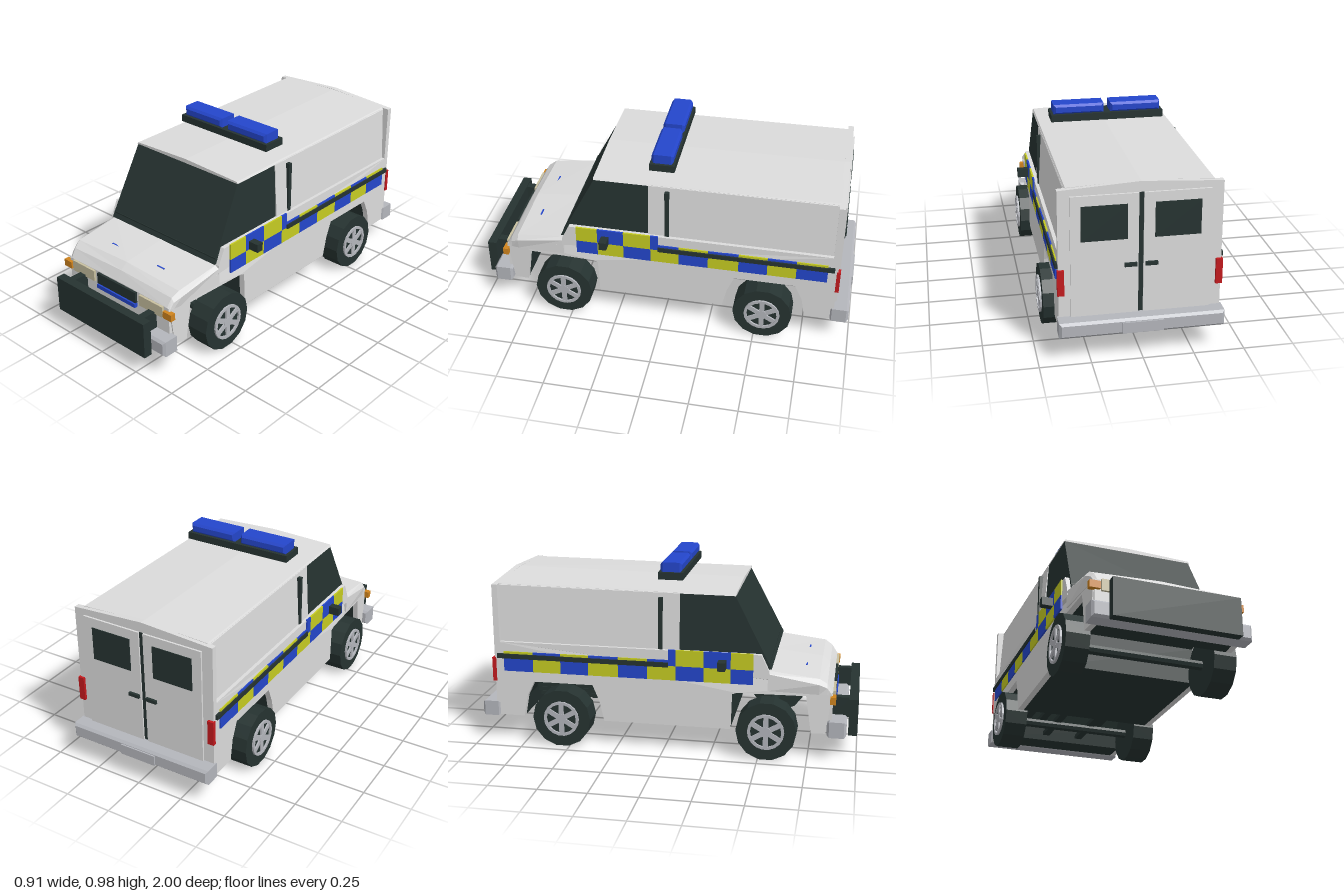
import * as THREE from 'three';

const mat = (name, color) => {
  const m = new THREE.MeshStandardMaterial({ color, flatShading: true });
  m.name = name;
  return m;
};

export function createModel() {
  const white = mat('white paint', 0xdcdcdc);
  const dark = mat('dark trim and glass', 0x263331);
  const blue = mat('blue', 0x2446cc);
  const yellow = mat('yellow', 0xc6cc22);
  const grey = mat('bumper grey', 0xb4b6bc);
  const red = mat('red lamp', 0xc41a1e);
  const orange = mat('orange lamp', 0xd0841e);
  const cream = mat('headlamp cream', 0xc8c0a0);

  const van = new THREE.Group();
  van.name = 'van';
  const add = (name, geo, m, parent = van) => {
    const mesh = new THREE.Mesh(geo, m);
    mesh.name = name;
    parent.add(mesh);
    return mesh;
  };
  // Box given by its limits on each axis
  const box = (name, m, x0, x1, y0, y1, z0, z1, parent = van) => {
    const mesh = add(name, new THREE.BoxGeometry(x1 - x0, y1 - y0, z1 - z0), m, parent);
    mesh.position.set((x0 + x1) / 2, (y0 + y1) / 2, (z0 + z1) / 2);
    return mesh;
  };
  // The same box on both sides
  const pair = (name, m, x0, x1, ...rest) => {
    box(name + 'Left', m, x0, x1, ...rest);
    box(name + 'Right', m, -x1, -x0, ...rest);
  };
  // Bevelled box
  const bevelBox = (name, m, x0, x1, y0, y1, z0, z1, b) => {
    const w = (x1 - x0) / 2 - b, h = (y1 - y0) / 2 - b;
    const s = new THREE.Shape([[-w, -h], [w, -h], [w, h], [-w, h]].map(p => new THREE.Vector2(...p)));
    const g = new THREE.ExtrudeGeometry(s, {
      depth: z1 - z0 - 2 * b, bevelSize: b, bevelThickness: b, bevelSegments: 1,
    });
    g.translate((x0 + x1) / 2, (y0 + y1) / 2, z0 + b);
    return add(name, g, m);
  };
  // Solid through mirrored cross-sections, listed front to back;
  // each half section runs from the lower left edge to the centre line
  const loft = (name, m, halves) => {
    const secs = halves.map(h => [...h, ...h.slice(0, -1).reverse().map(([x, y, z]) => [-x, y, z])]);
    const out = [], n = secs[0].length;
    const tri = (...pts) => pts.forEach(p => out.push(...p));
    for (let s = 0; s < secs.length - 1; s++) {
      for (let i = 0; i < n; i++) {
        const j = (i + 1) % n, A = secs[s], B = secs[s + 1];
        tri(A[i], B[i], B[j]);
        tri(A[i], B[j], A[j]);
      }
    }
    const F = secs[0], R = secs[secs.length - 1];
    for (let i = 1; i < n - 1; i++) {
      tri(F[0], F[i], F[i + 1]);
      tri(R[0], R[i + 1], R[i]);
    }
    const g = new THREE.BufferGeometry();
    g.setAttribute('position', new THREE.Float32BufferAttribute(out, 3));
    g.computeVertexNormals();
    return add(name, g, m);
  };
  const at = (z, pts) => pts.map(([x, y]) => [x, y, z]);

  // Lower body: side panels with wheel arches around a dark core
  const profile = [
    [-0.9, 0.14], [-0.76, 0.14], [-0.74, 0.25], [-0.7, 0.335], [-0.38, 0.335], [-0.345, 0.25], [-0.32, 0.14],
    [0.35, 0.14], [0.355, 0.33], [0.38, 0.34], [0.735, 0.34], [0.765, 0.14], [0.84, 0.14], [0.865, 0.35],
    [0.8, 0.39], [0.55, 0.42], [0.545, 0.465], [0.505, 0.548], [-0.9, 0.548],
  ].map(p => new THREE.Vector2(...p));
  const slab = (name, m, x0, x1) => {
    const g = new THREE.ExtrudeGeometry(new THREE.Shape(profile), { depth: x1 - x0, bevelEnabled: false });
    g.rotateY(-Math.PI / 2).translate(x1, 0, 0);
    const p = g.attributes.position;
    for (let i = 0; i < p.count; i++) {
      p.setX(i, p.getX(i) * (1 - 0.2 * Math.max(0, p.getZ(i) - 0.55))); // nose taper
    }
    g.computeVertexNormals();
    add(name, g, m);
  };
  slab('sidePanelLeft', white, 0.36, 0.392);
  slab('sidePanelRight', white, -0.392, -0.36);
  slab('chassisCore', dark, -0.36, 0.36);
  box('nosePanel', white, -0.362, 0.362, 0.2, 0.36, 0.83, 0.869);

  // Bonnet
  loft('bonnet', white, [
    at(0.869, [[0.365, 0.32], [0.365, 0.345], [0.35, 0.36], [0, 0.365]]),
    at(0.84, [[0.37, 0.35], [0.37, 0.385], [0.355, 0.405], [0, 0.415]]),
    at(0.8, [[0.375, 0.35], [0.385, 0.405], [0.365, 0.432], [0, 0.446]]),
    at(0.54, [[0.392, 0.36], [0.392, 0.45], [0.37, 0.462], [0, 0.473]]),
  ]);
  pair('bonnetLamp', blue, 0.14, 0.19, 0.435, 0.449, 0.72, 0.728);

  // Glazed cab, load space and roof
  loft('cabGlass', dark, [
    [[0.372, 0.47, 0.557], [0.353, 0.843, 0.362], [0, 0.856, 0.355]],
    at(0.08, [[0.372, 0.47], [0.353, 0.843], [0, 0.858]]),
  ]);
  loft('loadSpace', white, [
    at(0.08, [[0.377, 0.5], [0.356, 0.845], [0, 0.86]]),
    at(-0.89, [[0.377, 0.5], [0.356, 0.853], [0, 0.87]]),
  ]);
  loft('roof', white, [
    at(0.367, [[0.357, 0.84], [0.35, 0.85], [0, 0.863]]),
    at(-0.89, [[0.359, 0.848], [0.35, 0.86], [0, 0.876]]),
  ]);
  pair('sideTrack', dark, 0.35, 0.379, 0.548, 0.82, -0.03, -0.008);
  pair('sideRail', dark, 0.39, 0.405, 0.46, 0.485, -0.895, 0.025);
  box('dashboardSill', dark, -0.37, 0.37, 0.47, 0.5, 0.5, 0.545);

  // Rear frame, doors and lamps
  const frame = new THREE.Shape([[-0.392, 0.14], [0.392, 0.14], [0.392, 0.855], [0, 0.878], [-0.392, 0.855]]
    .map(p => new THREE.Vector2(...p)));
  add('rearFrame', new THREE.ExtrudeGeometry(frame, { depth: 0.03, bevelEnabled: false }), white).position.z = -0.912;
  pair('rearDoor', white, 0.012, 0.335, 0.21, 0.825, -0.922, -0.905);
  box('rearDoorGap', dark, -0.012, 0.012, 0.21, 0.825, -0.914, -0.905);
  pair('rearWindow', dark, 0.065, 0.285, 0.6, 0.775, -0.926, -0.918);
  pair('rearHandle', dark, 0.02, 0.08, 0.46, 0.478, -0.935, -0.92);
  pair('rearLamp', red, 0.365, 0.398, 0.33, 0.46, -0.925, -0.905);

  // Bumpers
  bevelBox('rearBumper', grey, -0.4, 0.4, 0.135, 0.215, -0.99, -0.89, 0.012);
  box('rearPlate', grey, -0.1, 0.1, 0.145, 0.2, -0.998, -0.985);
  bevelBox('frontBumper', grey, -0.4, 0.4, 0.13, 0.215, 0.845, 0.945, 0.012);
  box('frontPlate', grey, -0.1, 0.1, 0.145, 0.2, 0.94, 0.95);

  // Push bar
  box('pushBar', dark, -0.32, 0.32, 0.12, 0.315, 0.953, 1);
  pair('pushBarStrut', dark, 0.235, 0.275, 0.205, 0.31, 0.86, 0.96);

  // Front lamps and grille
  box('grille', dark, -0.14, 0.14, 0.3, 0.36, 0.86, 0.882);
  box('grilleLamp', blue, -0.14, 0.14, 0.275, 0.297, 0.86, 0.888);
  pair('headlamp', cream, 0.165, 0.33, 0.3, 0.36, 0.855, 0.882);
  pair('indicator', orange, 0.337, 0.393, 0.306, 0.344, 0.857, 0.886);

  // Mirrors
  pair('mirror', dark, 0.39, 0.457, 0.47, 0.515, 0.288, 0.328);

  // Roof light bar
  box('lightBarBase', dark, -0.3, 0.3, 0.897, 0.935, -0.045, 0.085);
  for (const s of [-1, 1]) {
    bevelBox('beacon', blue, s * 0.152 - 0.134, s * 0.152 + 0.134, 0.932, 0.985, -0.036, 0.077, 0.012);
  }

  // Chequered side bands
  const cuts = [0.465, 0.35, 0.21, 0.065, -0.085, -0.24, -0.4, -0.55, -0.7, -0.86];
  for (let i = 0; i < cuts.length - 1; i++) {
    const [a, b] = i % 2 ? [blue, yellow] : [yellow, blue];
    const z1 = cuts[i], z0 = cuts[i + 1];
    pair('lowerCheck', b, 0.39, 0.399, 0.39, 0.467, z0, z1);
    if (i < 3) pair('upperCheck', a, 0.39, 0.399, 0.467, 0.553, z0, z1);
    else pair('upperCheck', a, 0.39, 0.398, 0.467, 0.497, z0, z1);
  }
  pair('upperCheckEnd', blue, 0.39, 0.399, 0.467, 0.553, 0.025, 0.065);

  // Wheels with six-spoke hubs, built facing outward along +x
  const makeWheel = () => {
    const w = new THREE.Group();
    add('tyre', new THREE.CylinderGeometry(0.156, 0.156, 0.12, 14).rotateZ(Math.PI / 2), dark, w);
    const ring = new THREE.Shape().absarc(0, 0, 0.095, 0, Math.PI * 2);
    ring.holes.push(new THREE.Path().absarc(0, 0, 0.08, 0, Math.PI * 2, true));
    add('hubRing', new THREE.ExtrudeGeometry(ring, { depth: 0.012, bevelEnabled: false, curveSegments: 9 })
      .rotateY(Math.PI / 2), grey, w).position.x = 0.058;
    add('hubCap', new THREE.CylinderGeometry(0.028, 0.028, 0.012, 12).rotateZ(Math.PI / 2), grey, w).position.x = 0.064;
    for (let i = 0; i < 6; i++) {
      add('spoke', new THREE.BoxGeometry(0.01, 0.075, 0.026).translate(0.063, 0.05, 0)
        .rotateX(i * Math.PI / 3), grey, w);
    }
    return w;
  };
  for (const [z, end] of [[0.54, 'front'], [-0.54, 'rear']]) {
    for (const s of [1, -1]) {
      const w = makeWheel();
      w.name = end + 'Wheel' + (s > 0 ? 'Left' : 'Right');
      w.position.set(s * 0.38, 0.156, z);
      if (s < 0) w.rotation.y = Math.PI;
      van.add(w);
    }
    const axle = add(end + 'Axle', new THREE.CylinderGeometry(0.025, 0.025, 0.7, 8).rotateZ(Math.PI / 2), dark);
    axle.position.set(0, 0.156, z);
  }

  // Chassis rails across the rear arch
  for (const [y, x] of [[0.305, 0.28], [0.26, 0.22], [0.215, 0.16], [0.17, 0.1]]) {
    pair('chassisRail', dark, x - 0.02, x + 0.02, y, y + 0.022, -0.78, -0.3);
  }
  return van;
}
